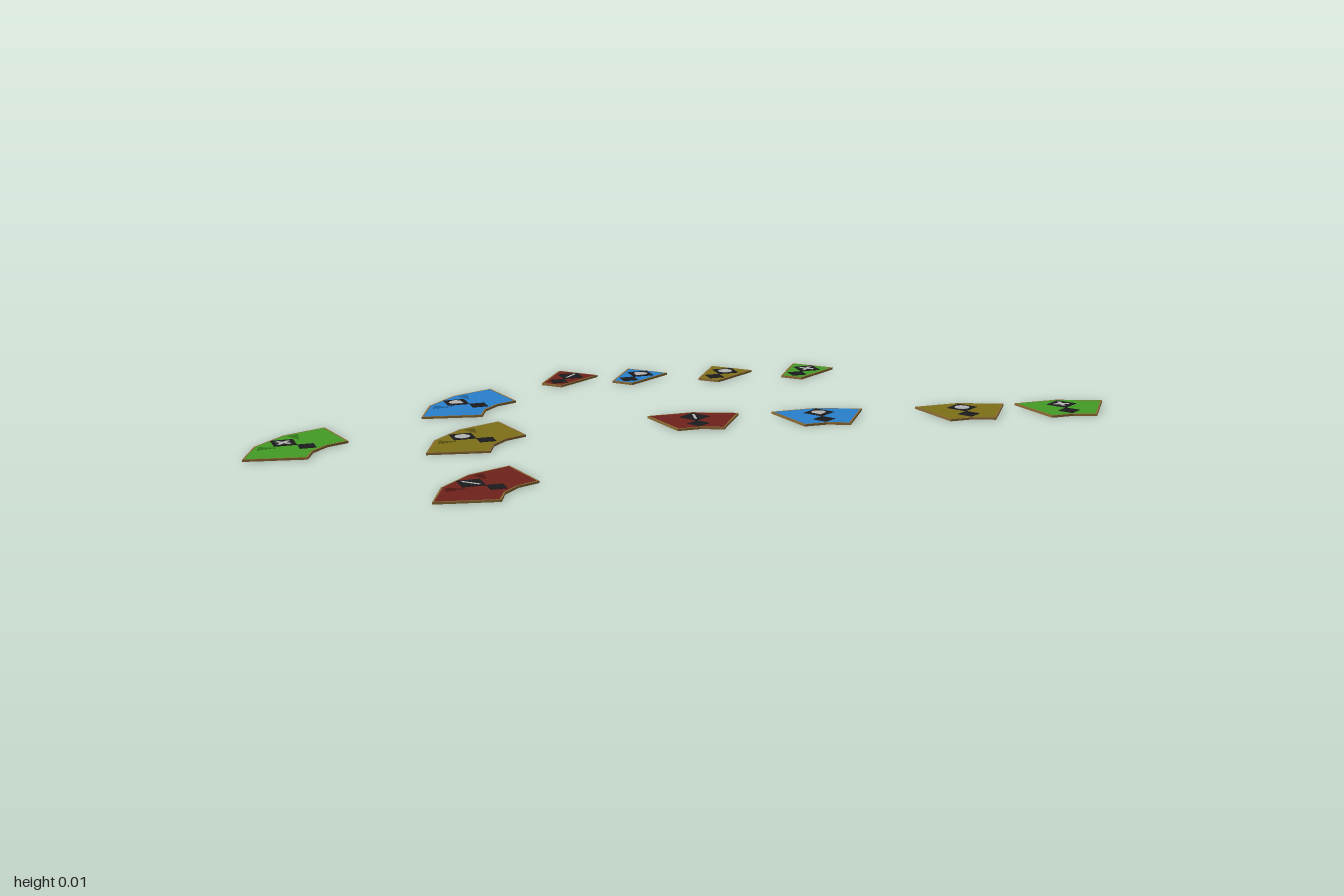
import * as THREE from 'three';

const STEP = Math.PI / 8; // every tile is made of 22.5 degree segments
const R_IN = 0.14, R_OUT = 0.28;
const ICON_R = 0.235, GEM_R = 0.173;

const paint = (color) => new THREE.MeshStandardMaterial({ color, flatShading: true, side: THREE.DoubleSide });
const MAT = {
  rim: paint(0x8a6a35), dark: paint(0x1b1b1d), pale: paint(0xb4b4b4),
  red: paint(0x6e231b), blue: paint(0x2880cc), yellow: paint(0x7d7018), green: paint(0x429c24),
  redShade: paint(0x4f1712), blueShade: paint(0x1c629f), yellowShade: paint(0x5c5210), greenShade: paint(0x2f7619),
};

// Outline of a ring sector; +y of the shape points outward from the ring centre
function sector(segments, inset) {
  const half = segments * STEP / 2, pts = [];
  const add = (r, i) => {
    const a = (-half + i * STEP) * (1 - inset / (r * half));
    pts.push(new THREE.Vector2(r * Math.sin(a), r * Math.cos(a)));
  };
  for (let i = 0; i <= segments; i++) add(R_OUT - inset, i);
  for (let i = segments; i >= 0; i--) add(R_IN + inset, i);
  return pts;
}

// Regular polygon with a corner pointing outward
function polygon(sides, r, cy) {
  return Array.from({ length: sides }, (_, i) => {
    const a = i * 2 * Math.PI / sides;
    return new THREE.Vector2(r * Math.sin(a), cy + r * Math.cos(a));
  });
}

const pairs = (list, cy) => list.map(([x, y]) => new THREE.Vector2(x, cy + y));

// Flat slab from an outline lying in the ground plane, between two heights
function slab(name, pts, y0, y1, material, hole) {
  const shape = new THREE.Shape(pts);
  if (hole) shape.holes.push(new THREE.Path(hole));
  const geo = new THREE.ExtrudeGeometry(shape, { depth: y1 - y0, bevelEnabled: false });
  geo.rotateX(-Math.PI / 2).translate(0, y0, 0);
  const mesh = new THREE.Mesh(geo, material);
  mesh.name = name;
  return mesh;
}

// Pale symbol for each colour
const t = 0.0045, l = 0.019;
const SYMBOL = {
  red: pairs([[-0.003, -0.022], [0.003, -0.022], [0.003, 0.022], [-0.003, 0.022]], ICON_R),
  blue: pairs([[0, -0.021], [0.017, -0.002], [0.015, 0.012], [0, 0.016], [-0.015, 0.012], [-0.017, -0.002]], ICON_R),
  yellow: polygon(10, 0.018, ICON_R),
  green: pairs([[-t, -l], [t, -l], [t, -t], [l, -t], [l, t], [t, t],
    [t, l], [-t, l], [-t, t], [-l, t], [-l, -t], [-t, -t]], ICON_R),
};

function makeTile(color, segments, x, z, turn) {
  const tile = new THREE.Group();
  tile.name = `${color}Tile${segments}`;
  const inner = sector(segments, 0.004);
  tile.add(slab('rim', sector(segments, 0), 0, 0.005, MAT.rim, inner));
  tile.add(slab('plate', inner, 0.0004, 0.005, MAT[color]));

  // Darker notches at the outer corners of the widest tiles
  if (segments === 3) {
    for (const s of [-1, 1]) {
      const at = (r, a) => new THREE.Vector2(r * Math.sin(a * s), r * Math.cos(a * s));
      tile.add(slab('cornerShade', [at(0.269, 0.2), at(0.262, 0.3), at(0.225, 0.18)], 0.004, 0.0053, MAT[color + 'Shade']));
    }
  }

  // Dark diamonds; on yellow tiles they show underneath too
  const base = color === 'yellow' ? 0 : 0.003;
  tile.add(slab('symbolDiamond', polygon(4, 0.036, ICON_R), base, 0.0058, MAT.dark));
  tile.add(slab('smallDiamond', polygon(4, 0.026, GEM_R), 0.003, 0.0058, MAT.dark));
  tile.add(slab('symbol', SYMBOL[color], 0.005, 0.0064, MAT.pale));

  tile.position.set(x, 0, z);
  tile.rotation.y = turn;
  return tile;
}

export function createModel() {
  const model = new THREE.Group();
  model.name = 'curvedTiles';
  const colors = ['red', 'blue', 'yellow', 'green'];

  // Narrow tiles along the back and medium tiles along the middle
  const narrowX = [-0.358, -0.184, 0.03, 0.238], mediumX = [0.018, 0.31, 0.652, 0.893];
  // Wide tiles on the right-hand side
  const wide = [[-0.326, 0.57], [-0.326, -0.14], [-0.326, 0.184], [-0.72, 0.184]];
  colors.forEach((c, i) => {
    model.add(makeTile(c, 1, narrowX[i], -0.311, -1.5 * STEP));
    model.add(makeTile(c, 2, mediumX[i], 0.182, 0));
    model.add(makeTile(c, 3, wide[i][0], wide[i][1], 2.5 * STEP));
  });
  return model;
}
